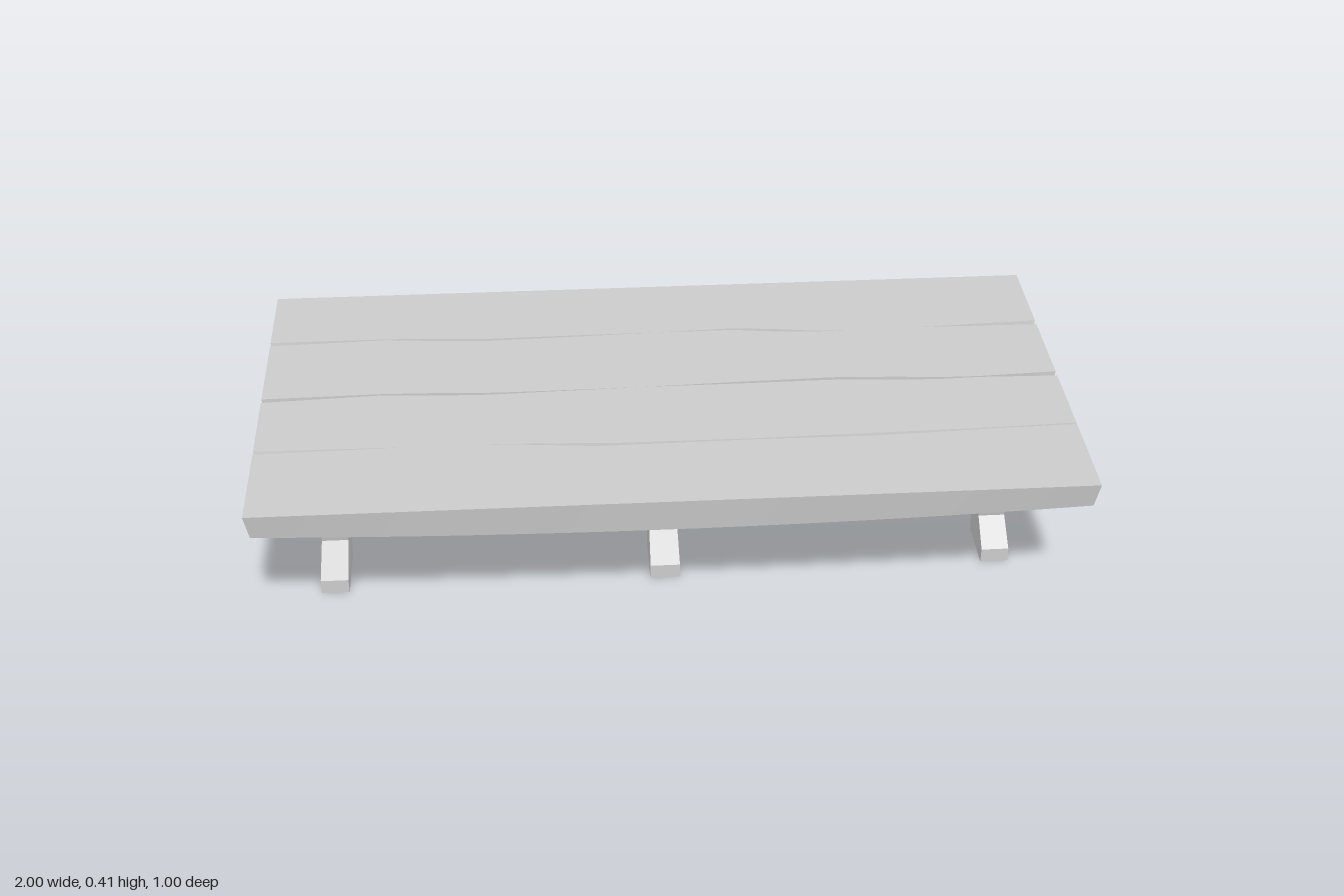
import * as THREE from 'three';

const material = new THREE.MeshStandardMaterial({ color: 0xcccccc, flatShading: true });
const TOP = 0.415;

// Underside of the table top: lowest in the middle, rising to every edge
const underside = (x, z) => 0.3 + 0.022 * x * x + 0.055 * Math.abs(z);

// Piecewise linear lookup through [x, value] pairs
function lookup(points, x) {
  for (let i = 1; i < points.length; i++) {
    const [x0, v0] = points[i - 1], [x1, v1] = points[i];
    if (x <= x1) return v0 + (v1 - v0) * (x - x0) / (x1 - x0);
  }
  return points[points.length - 1][1];
}

// Seams between planks: wandering line, opening width at the top, lean towards the bottom
const seams = [
  { line: [[-1, -0.265], [-0.7, -0.27], [-0.45, -0.252], [0.2, -0.265], [0.42, -0.24], [1, -0.248]],
    gap: [[-1, 0.016], [-0.7, 0.004], [-0.55, 0.012], [-0.2, 0.006], [0, 0], [0.3, 0.012], [0.5, 0], [0.7, 0], [1, 0.02]], lean: 0.006 },
  { line: [[-1, 0.005], [-0.7, -0.005], [-0.43, 0.008], [0, 0], [0.44, -0.008], [0.7, 0.008], [1, 0.005]],
    gap: [[-1, 0.016], [-0.7, 0.006], [-0.55, 0.012], [-0.3, 0.004], [-0.05, 0], [0.2, 0.008], [0.6, 0.014], [0.8, 0.004], [1, 0.02]], lean: -0.006 },
  { line: [[-1, 0.235], [-0.43, 0.233], [-0.15, 0.253], [0.53, 0.25], [1, 0.235]],
    gap: [[-1, 0.014], [-0.65, 0], [-0.42, 0], [-0.2, 0.012], [0.2, 0.004], [0.5, 0.012], [0.8, 0.005], [1, 0.006]], lean: 0.012 },
];

// Plank edge at x; side is +1 behind the plank's far neighbour seam, -1 before the next one
function edge(seam, x, side, isTop, outer) {
  if (!seam) return outer * (isTop ? 0.5 : 0.488);
  const open = isTop ? lookup(seam.gap, x) / 2 : 0.001;
  return lookup(seam.line, x) + side * open + (isTop ? 0 : seam.lean);
}

function plank(back, front) {
  const g = new THREE.BoxGeometry(2, 1, 1, 40, 1, 1);
  const p = g.attributes.position;
  for (let i = 0; i < p.count; i++) {
    const x = p.getX(i), isTop = p.getY(i) > 0;
    const z = p.getZ(i) < 0 ? edge(back, x, 1, isTop, -1) : edge(front, x, -1, isTop, 1);
    p.setXYZ(i, isTop ? x : x * 0.99, isTop ? TOP : underside(x, z), z);
  }
  g.computeVertexNormals();
  return new THREE.Mesh(g, material);
}

// Trestle: profile in (z, y), extruded along x, arms fitted to the underside
function trestle(x, thickness, frontFoot, backFoot, skew) {
  const roof = z => [z, underside(x, z) + 0.003];
  const profile = [
    [frontFoot, 0], [frontFoot, 0.037], [0.162, 0.093], [0.185, 0.187],
    [0.335, 0.275], roof(0.335), roof(0.105), [0.097, 0.283],
    [-0.07, 0.269], roof(-0.085), roof(-0.312), [-0.316, 0.278],
    [-0.178, 0.22], [-0.156, 0.085], [backFoot, 0.035], [backFoot, 0],
    [-0.078, 0], [-0.05, 0.128], [0.06, 0.13], [0.092, 0],
  ];
  const shape = new THREE.Shape(profile.map(([z, y]) => new THREE.Vector2(-z, y)));
  const g = new THREE.ExtrudeGeometry(shape, { depth: thickness, bevelEnabled: false });
  g.translate(0, 0, -thickness / 2);
  g.rotateY(Math.PI / 2);
  // Feet are thicker than the arms, and the frame leans a little
  const p = g.attributes.position;
  for (let i = 0; i < p.count; i++) {
    const t = p.getY(i) / 0.33;
    p.setX(i, p.getX(i) * (1.08 - 0.22 * t) + skew * t);
  }
  g.computeVertexNormals();
  const mesh = new THREE.Mesh(g, material);
  mesh.position.x = x;
  return mesh;
}

// Long stretcher through all trestles, sagging slightly
function stretcher() {
  const g = new THREE.BoxGeometry(1.775, 0.062, 0.062, 6, 1, 1);
  const p = g.attributes.position;
  for (let i = 0; i < p.count; i++) {
    const x = p.getX(i);
    p.setY(i, p.getY(i) + 0.204 - 0.008 * (1 - (x / 0.89) ** 2));
  }
  g.translate(-0.003, 0, 0.006);
  g.computeVertexNormals();
  return new THREE.Mesh(g, material);
}

export function createModel() {
  const model = new THREE.Group();
  model.name = 'table';

  const top = new THREE.Group();
  top.name = 'tableTop';
  for (let i = 0; i < 4; i++) {
    const board = plank(seams[i - 1], seams[i]);
    board.name = `plank${i + 1}`;
    top.add(board);
  }
  model.add(top);

  const frames = [
    ['rightTrestle', -0.836, 0.065, 0.255, -0.233, 0.003],
    ['middleTrestle', -0.009, 0.07, 0.245, -0.235, 0],
    ['leftTrestle', 0.832, 0.065, 0.232, -0.233, -0.004],
  ];
  for (const [name, ...args] of frames) {
    const frame = trestle(...args);
    frame.name = name;
    model.add(frame);
  }

  const beam = stretcher();
  beam.name = 'stretcher';
  model.add(beam);
  return model;
}
